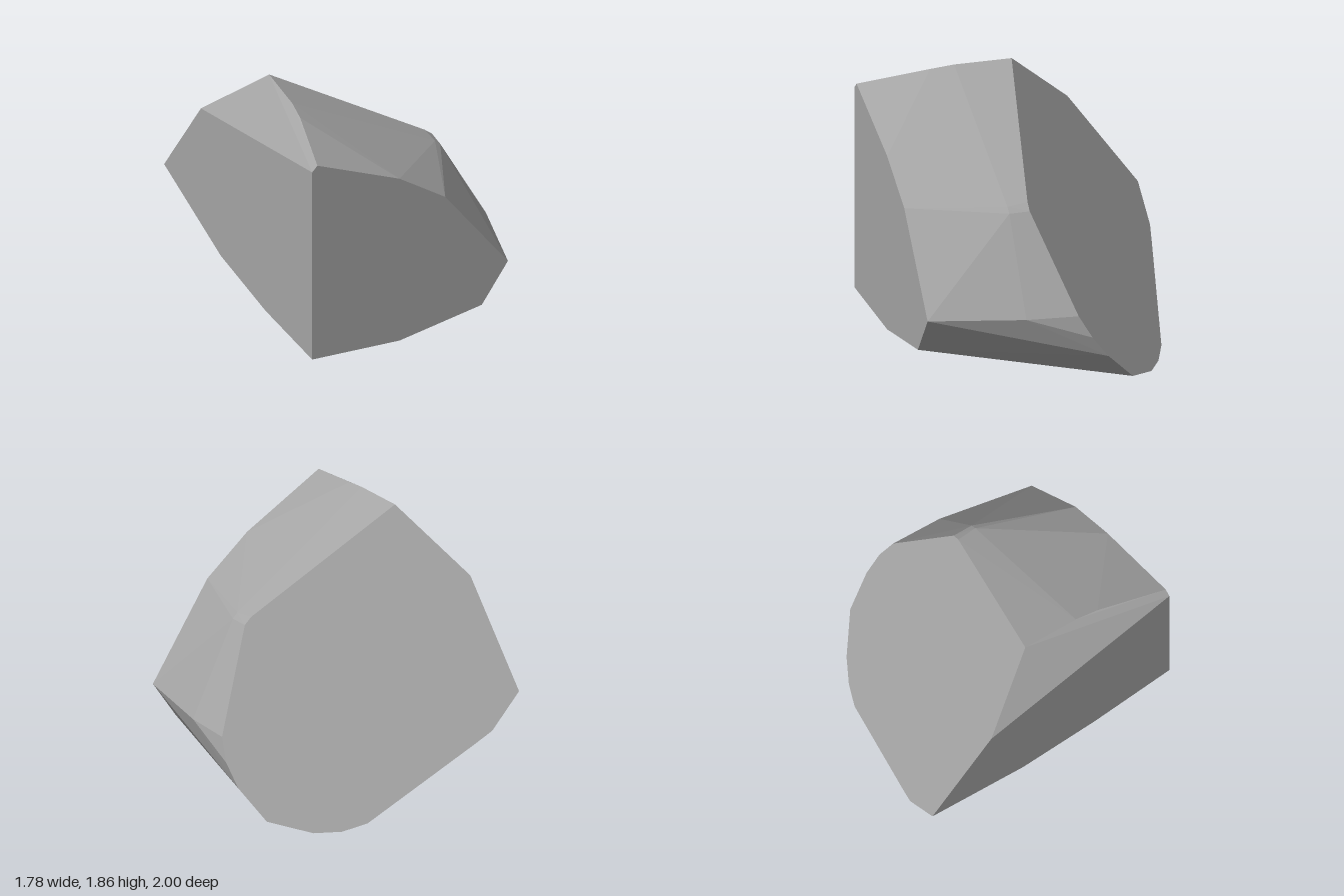
import * as THREE from 'three';
import { ConvexGeometry } from 'three/addons/geometries/ConvexGeometry.js';

// Depth of the slanted rear cut at a given x, y
const rearZ = (x, y) => (0.684 * x + 0.765 * y - 1.006) / 1.045;

export function createModel() {
  const stone = new THREE.MeshStandardMaterial({ color: 0xa5a5a5, flatShading: true });
  stone.name = 'grey stone';

  // Outline of the flat front face (z = 1)
  const front = [
    [-0.89, 0.25], [-0.22, 0.205], [0.41, 0.3], [0.61, 0.58],
    [0.13, 1.21], [-0.22, 1.45], [-0.85, 1.73], [-0.89, 1.69],
  ].map(([x, y]) => new THREE.Vector3(x, y, 1));

  // Outline of the large slanted rear face
  const rear = [
    [-0.64, 1.86], [0.41, 1.26], [0.465, 1.215], [0.85, 0.58], [0.887, 0.43],
    [0.88, 0.28], [0.8, 0.08], [0.57, 0], [0.41, 0], [0.25, 0.04],
    [-0.52, 0.46], [-0.65, 0.533], [-0.89, 0.752], [-0.89, 1.43],
  ].map(([x, y]) => new THREE.Vector3(x, y, rearZ(x, y)));

  // Corners between the two faces: right side, top ridge, lower left edge
  const middle = [
    [0.8, 0.58, 0.37], [0.45, 1.21, 0.37], [0.41, 1.245, 0.37],
    [-0.685, 1.848, 0.37], [-0.715, 1.825, 0.53],
    [-0.89, 0.31, 0.37], [-0.89, 0.43, -0.23],
  ].map((p) => new THREE.Vector3(...p));

  const rock = new THREE.Mesh(new ConvexGeometry([...front, ...rear, ...middle]), stone);
  rock.name = 'rock';

  const model = new THREE.Group();
  model.name = 'cutRock';
  model.add(rock);
  return model;
}
